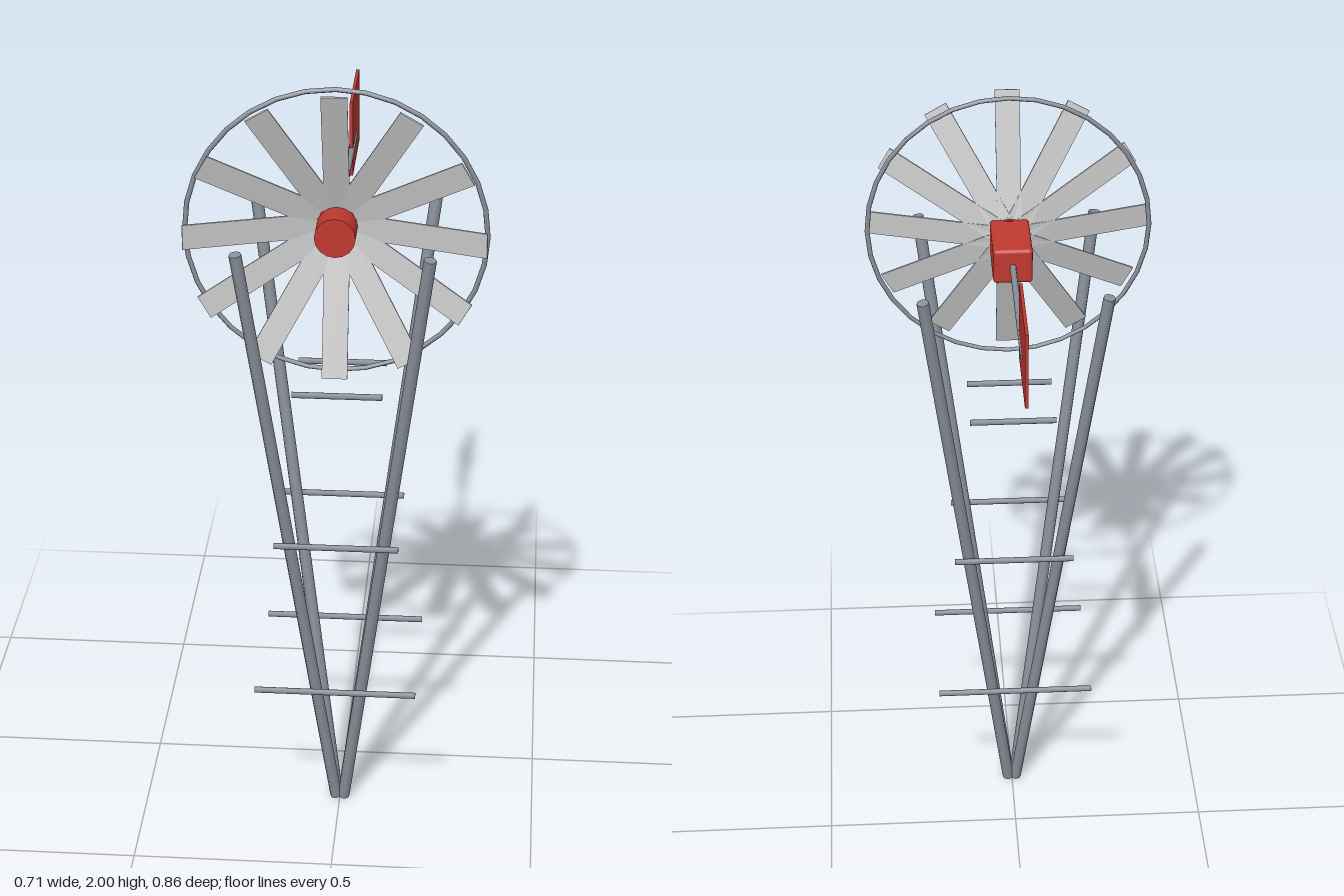
import * as THREE from 'three';
import { RoundedBoxGeometry } from 'three/addons/geometries/RoundedBoxGeometry.js';

const steel = new THREE.MeshStandardMaterial({ color: 0x8a909b });
steel.name = 'steel grey';
const tin = new THREE.MeshStandardMaterial({ color: 0xc6c6c6 });
tin.name = 'pale tin';
const red = new THREE.MeshStandardMaterial({ color: 0xc0392f });
red.name = 'barn red';

const UP = new THREE.Vector3(0, 1, 0);
const TOWER_Z = 0.193;
const AXLE_Y = 1.645;

function add(parent, name, geometry, material, x = 0, y = 0, z = 0) {
  const mesh = new THREE.Mesh(geometry, material);
  mesh.name = name;
  mesh.position.set(x, y, z);
  parent.add(mesh);
  return mesh;
}

// Round bar between two points
function bar(parent, name, a, b, radius, sides) {
  const from = new THREE.Vector3(...a);
  const to = new THREE.Vector3(...b);
  const dir = to.clone().sub(from);
  const mesh = add(parent, name, new THREE.CylinderGeometry(radius, radius, dir.length(), sides), steel);
  mesh.position.copy(from).add(to).multiplyScalar(0.5);
  mesh.quaternion.setFromUnitVectors(UP, dir.normalize());
  return mesh;
}

export function createModel() {
  const model = new THREE.Group();
  model.name = 'windmill';

  // Tower: four legs spreading upward from a narrow foot
  const tower = new THREE.Group();
  tower.name = 'tower';
  model.add(tower);
  for (const sx of [-1, 1]) {
    for (const sz of [-1, 1]) {
      bar(tower, 'leg',
        [sx * 0.01, 0.002, TOWER_Z + sz * 0.01],
        [sx * 0.222, 1.63, TOWER_Z + sz * 0.222], 0.015, 8);
    }
  }

  // Cross rungs on the front and back, shorter toward the top
  for (const [y, half, dz] of [[0.43, 0.2, 0.18], [0.82, 0.152, 0.137], [1.212, 0.108, 0.093]]) {
    for (const s of [-1, 1]) {
      const z = 0.192 + s * dz;
      bar(tower, 'rung', [-half, y, z], [half, y, z], 0.0075, 6);
    }
  }

  // Wheel: rim and twelve blades raked forward like a shallow dish
  const wheel = new THREE.Group();
  wheel.name = 'wheel';
  wheel.position.set(0, AXLE_Y, 0);
  model.add(wheel);
  add(wheel, 'rim', new THREE.TorusGeometry(0.349, 0.006, 6, 32), steel, 0, 0, 0.31);

  const innerR = 0.04, outerR = 0.349, innerZ = 0.266, outerZ = 0.36;
  const run = outerR - innerR, rise = outerZ - innerZ;
  const bladeShape = new THREE.BoxGeometry(0.06, Math.hypot(run, rise), 0.005);
  bladeShape.rotateX(Math.atan2(rise, run));
  bladeShape.translate(0, (innerR + outerR) / 2, (innerZ + outerZ) / 2);
  for (let i = 0; i < 12; i++) {
    const blade = add(wheel, 'blade', bladeShape, tin);
    blade.rotation.z = (i * Math.PI) / 6;
  }

  // Head: hub, gearbox, and tail
  const hub = add(model, 'hub', new THREE.CylinderGeometry(0.048, 0.048, 0.085, 16), red, 0, AXLE_Y, 0.3);
  hub.rotation.x = Math.PI / 2;
  add(model, 'gearbox', new RoundedBoxGeometry(0.096, 0.09, 0.165, 2, 0.009), red, 0, AXLE_Y, 0.189);
  bar(model, 'tailBoom', [0, AXLE_Y, 0.12], [0, AXLE_Y, -0.318], 0.008, 8);
  add(model, 'tailVane', new THREE.BoxGeometry(0.008, 0.192, 0.234), red, 0, 1.675, -0.317);

  return model;
}
